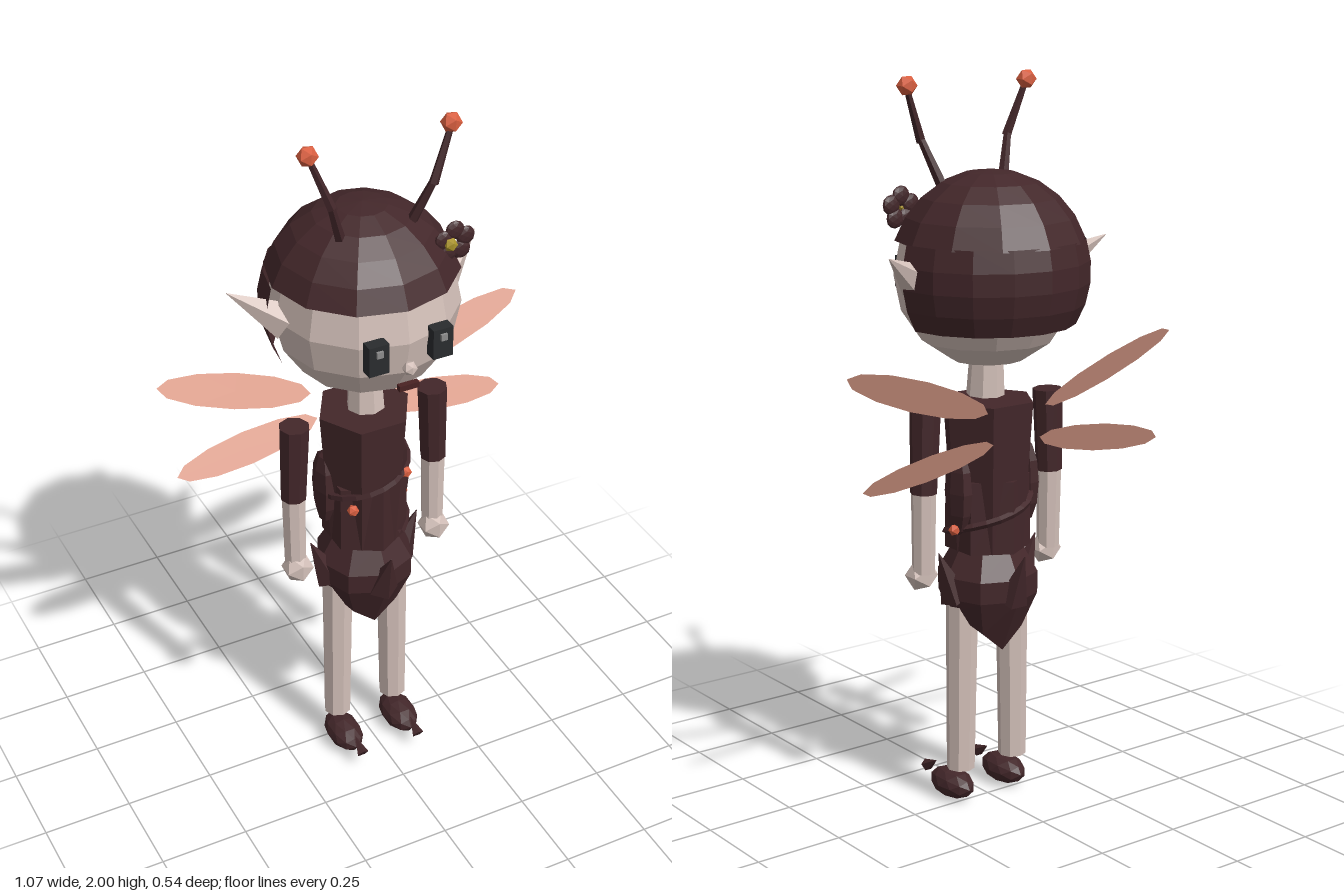
import * as THREE from 'three';

const mat = (name, color, side = THREE.FrontSide) =>
  Object.assign(new THREE.MeshStandardMaterial({ color, flatShading: true, side }), { name });

const skin = mat('skin', 0xd3c0b9);
const dark = mat('dark maroon', 0x43272a, THREE.DoubleSide);
const wingPink = mat('wing pink', 0xdf9f8b, THREE.DoubleSide);
const orange = mat('orange', 0xd95f40);
const black = mat('eye black', 0x2a2c2e);
const grey = mat('eye glint', 0x8c8c8c);
const lip = mat('mouth', 0x4a2222);
const yellow = mat('flower yellow', 0xa8922a);

const UP = new THREE.Vector3(0, 1, 0);

export function createModel() {
  const model = new THREE.Group();
  model.name = 'antennaFairy';

  const add = (name, geo, material, x = 0, y = 0, z = 0, parent = model) => {
    const m = new THREE.Mesh(geo, material);
    m.name = name;
    m.position.set(x, y, z);
    parent.add(m);
    return m;
  };
  // Tapered rod from point a (radius ra) to point b (radius rb)
  const rod = (name, material, a, b, ra, rb, sides) => {
    const A = new THREE.Vector3(...a), B = new THREE.Vector3(...b);
    const d = B.clone().sub(A);
    const c = A.clone().add(B).multiplyScalar(0.5);
    const m = add(name, new THREE.CylinderGeometry(rb, ra, d.length(), sides), material, c.x, c.y, c.z);
    m.quaternion.setFromUnitVectors(UP, d.normalize());
    return m;
  };
  const ball = (name, material, r, x, y, z, detail = 0) =>
    add(name, new THREE.IcosahedronGeometry(r, detail), material, x, y, z);

  // Head and neck
  add('head', new THREE.SphereGeometry(0.25, 12, 8), skin, 0, 1.48, 0);
  rod('neck', skin, [0, 1.15, 0.01], [0, 1.27, 0.005], 0.052, 0.045, 8);

  // Hair: a cap on top and a longer shell round the back
  add('hairCap', new THREE.SphereGeometry(0.266, 12, 5, 0, Math.PI * 2, 0, 1.26), dark, 0, 1.49, -0.012);
  add('hairBack', new THREE.SphereGeometry(0.275, 8, 4, Math.PI, Math.PI, 1.25, 0.86), dark, 0, 1.49, 0);

  // Face
  for (const s of [-1, 1]) {
    add('eye', new THREE.BoxGeometry(0.056, 0.085, 0.034), black, s * 0.09, 1.463, 0.243);
    add('eyeGlint', new THREE.BoxGeometry(0.018, 0.018, 0.008), grey, s * 0.09, 1.483, 0.263);
  }
  ball('nose', skin, 0.02, 0, 1.41, 0.252);
  add('mouth', new THREE.BoxGeometry(0.056, 0.016, 0.016), lip, 0, 1.354, 0.245);

  // Flower in the hair
  for (let i = 0; i < 5; i++) {
    const a = Math.PI / 2 + i * Math.PI * 0.4;
    const p = ball('flowerPetal', dark, 0.027, 0.195 + 0.032 * Math.cos(a), 1.655 + 0.032 * Math.sin(a), 0.118, 1);
    p.scale.z = 0.4;
  }
  ball('flowerCentre', yellow, 0.019, 0.178, 1.655, 0.128);

  // Torso: bodice, waist and draped side panels
  const bodice = add('bodice', new THREE.CylinderGeometry(0.132, 0.103, 0.41, 6), dark, 0, 0.935, 0);
  bodice.rotation.y = Math.PI / 6;
  add('waist', new THREE.CylinderGeometry(0.115, 0.117, 0.2, 6), dark, 0, 0.83, 0);
  for (const s of [-1, 1]) {
    add('sidePanel', new THREE.SphereGeometry(1, 6, 6), dark, s * 0.113, 0.9, -0.02).scale.set(0.028, 0.12, 0.05);
  }

  // Vine wound round the torso, with beads
  const vine = [];
  for (let i = 0; i <= 16; i++) {
    const t = i / 16, a = 1.9 - t * 7.6;
    vine.push(new THREE.Vector3(0.118 * Math.sin(a), 1.0 - 0.24 * t, 0.113 * Math.cos(a)));
  }
  add('vine', new THREE.TubeGeometry(new THREE.CatmullRomCurve3(vine), 24, 0.01, 4), dark);
  for (const [x, y, z] of [[0.08, 0.955, 0.09], [-0.08, 0.88, 0.092], [0.13, 0.8, -0.025]]) {
    ball('bead', orange, 0.017, x, y, z);
  }

  // Skirt: an eight-sided bud with a pointed hem, longest at front and back
  const n = 8, pos = [], idx = [];
  for (let r = 0; r < 4; r++) {
    for (let i = 0; i < n; i++) {
      const a = (i / n) * Math.PI * 2, c = Math.abs(Math.cos(a));
      const hemR = 0.122 - 0.055 * c * c, hemY = 0.56 - 0.115 * c * c;
      const [rad, y] = [[0.095, 0.735], [0.138, 0.66], [0.137, 0.6], [hemR, hemY]][r];
      pos.push(rad * Math.sin(a), y, rad * Math.cos(a));
      if (r < 3) {
        const p = r * n + i, q = r * n + (i + 1) % n;
        idx.push(p, p + n, q, q, p + n, q + n);
      }
    }
  }
  const skirt = new THREE.BufferGeometry();
  skirt.setAttribute('position', new THREE.Float32BufferAttribute(pos, 3));
  skirt.setIndex(idx);
  skirt.computeVertexNormals();
  add('skirt', skirt, dark);
  add('skirtTop', new THREE.CylinderGeometry(0.095, 0.095, 0.01, n), dark, 0, 0.732, 0);
  // Upturned petal tips
  for (let i = 0; i < 4; i++) {
    const a = i * Math.PI / 2, s = Math.sin(a), c = Math.cos(a);
    rod('petalTip', dark, [0.108 * s, 0.6, 0.108 * c], [0.165 * s, 0.735, 0.165 * c], 0.045, 0.001, 5);
  }

  for (const s of [-1, 1]) {
    // Ears
    rod('ear', skin, [s * 0.225, 1.475, 0], [s * 0.357, 1.558, -0.06], 0.052, 0.001, 5);

    // Antennae
    rod('antennaLower', dark, [s * 0.1, 1.71, 0.065], [s * 0.145, 1.84, 0.102], 0.015, 0.01, 5);
    rod('antennaUpper', dark, [s * 0.14, 1.825, 0.102], [s * 0.195, 1.97, 0.088], 0.013, 0.008, 5);
    ball('antennaBall', orange, 0.028, s * 0.195, 1.973, 0.086);

    // Arms
    rod('sleeve', dark, [s * 0.213, 0.91, 0], [s * 0.206, 1.14, 0], 0.036, 0.042, 8);
    rod('forearm', skin, [s * 0.213, 0.69, 0.003], [s * 0.213, 0.915, 0], 0.031, 0.034, 8);
    ball('hand', skin, 0.045, s * 0.212, 0.68, 0.014);

    // Legs and shoes
    rod('leg', skin, [s * 0.09, 0.1, 0.005], [s * 0.085, 0.62, 0.003], 0.039, 0.045, 8);
    add('shoe', new THREE.IcosahedronGeometry(1, 1), dark, s * 0.09, 0.042, 0.045).scale.set(0.049, 0.041, 0.082);
    rod('shoeToe', dark, [s * 0.09, 0.052, 0.168], [s * 0.09, 0.08, 0.122], 0.018, 0.001, 5);

    // Wings: thin leaves, leaning back at the upper edge
    for (const [name, x, y, len, wid, tilt] of [
      ['upperWing', 0.315, 1.208, 0.232, 0.048, 0.33],
      ['lowerWing', 0.285, 1.015, 0.21, 0.046, -0.15],
    ]) {
      const leaf = new THREE.CircleGeometry(1, 12).scale(len, wid, 1).rotateX(-0.45).rotateZ(s * tilt);
      add(name, leaf, wingPink, s * x, y, -0.128);
    }
  }

  return model;
}
